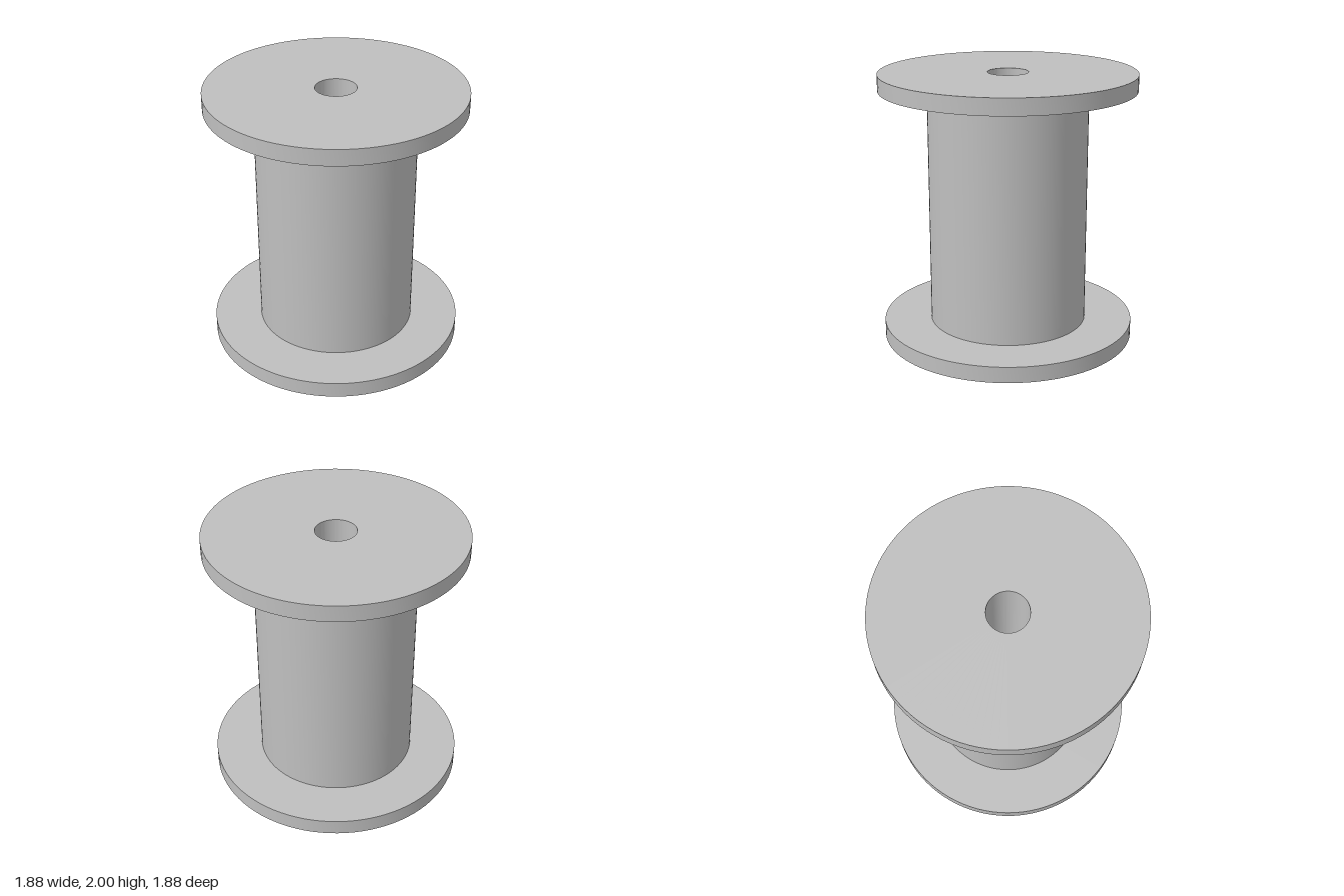
import * as THREE from 'three';
import { toCreasedNormals } from 'three/addons/utils/BufferGeometryUtils.js';

const HEIGHT = 2;
const FLANGE_R = 0.94;
const FLANGE_T = 0.12;
const CORE_R = 0.588;
const BORE_R = 0.15;
const SEGMENTS = 96;

export function createModel() {
  const model = new THREE.Group();
  model.name = 'spool';

  const grey = new THREE.MeshStandardMaterial({ color: 0xbfbfbf });
  grey.name = 'grey';

  // Revolves a profile of [radius, y] points, keeping its corners sharp
  const turn = (name, profile) => {
    const points = profile.map(([r, y]) => new THREE.Vector2(r, y));
    const geometry = toCreasedNormals(new THREE.LatheGeometry(points, SEGMENTS), 0.6);
    const mesh = new THREE.Mesh(geometry, grey);
    mesh.name = name;
    model.add(mesh);
  };

  const top = HEIGHT - FLANGE_T;

  // End discs
  turn('bottomFlange', [[BORE_R, 0], [FLANGE_R, 0], [FLANGE_R, FLANGE_T], [CORE_R, FLANGE_T]]);
  turn('topFlange', [[CORE_R, top], [FLANGE_R, top], [FLANGE_R, HEIGHT], [BORE_R, HEIGHT]]);

  // Barrel between the discs
  turn('core', [[CORE_R, FLANGE_T], [CORE_R, top]]);

  // Through hole, facing inward
  turn('bore', [[BORE_R, HEIGHT], [BORE_R, 0]]);

  return model;
}
